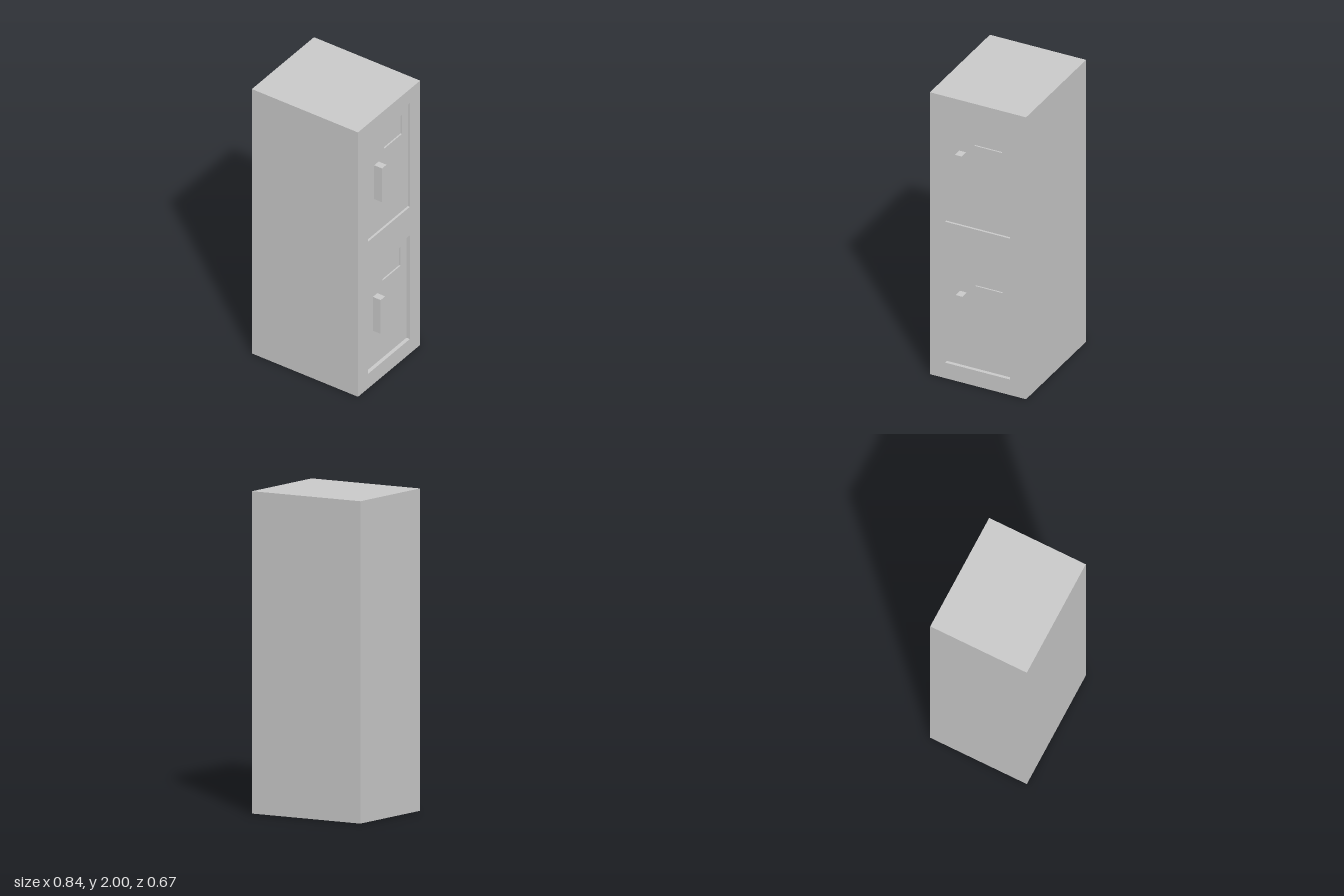
import * as THREE from 'three';

const material = new THREE.MeshStandardMaterial({ color: 0xcccccc, flatShading: true });
const BACK = -0.42, CORE = 0.32, FACE = 0.376, HALF = 0.333;

// Rectangles are [z0, z1, y0, y1]; all plates face +x
function outline([z0, z1, y0, y1], Type) {
  return new Type([[-z1, y0], [-z0, y0], [-z0, y1], [-z1, y1]].map(p => new THREE.Vector2(...p)));
}

// Plate from x0 to x1 with rectangular openings
function plate(name, rect, x0, x1, openings = []) {
  const shape = outline(rect, THREE.Shape);
  shape.holes = openings.map(o => outline(o, THREE.Path));
  const geometry = new THREE.ExtrudeGeometry(shape, { depth: x1 - x0, bevelEnabled: false });
  geometry.rotateY(Math.PI / 2).translate(x0, 0, 0);
  const mesh = new THREE.Mesh(geometry, material);
  mesh.name = name;
  return mesh;
}

export function createModel() {
  const model = new THREE.Group();
  model.name = 'locker';

  const doors = [
    { name: 'lowerDoor', base: 0, recess: 0.025 },
    { name: 'upperDoor', base: 1, recess: 0.015 },
  ];
  const doorRect = base => [-0.222, 0.228, base + 0.11, base + 0.895];

  // Cabinet body and the door frame on its +x side
  const full = [-HALF, HALF, 0, 2];
  model.add(plate('cabinetBody', full, BACK, CORE));
  model.add(plate('doorFrame', full, CORE, FACE, doors.map(d => doorRect(d.base))));

  // Recessed doors, each with a sunken label window and a handle
  for (const { name, base, recess } of doors) {
    const door = new THREE.Group();
    door.name = name;
    const x = FACE - recess;
    const label = [-0.158, 0.033, base + 0.693, base + 0.836];
    door.add(plate('doorPanel', doorRect(base), CORE, x, [label]));
    door.add(plate('labelWindow', label, CORE, x - 0.01));
    door.add(plate('handle', [0.09, 0.138, base + 0.375, base + 0.631], x, x + 0.059));
    model.add(door);
  }
  return model;
}
